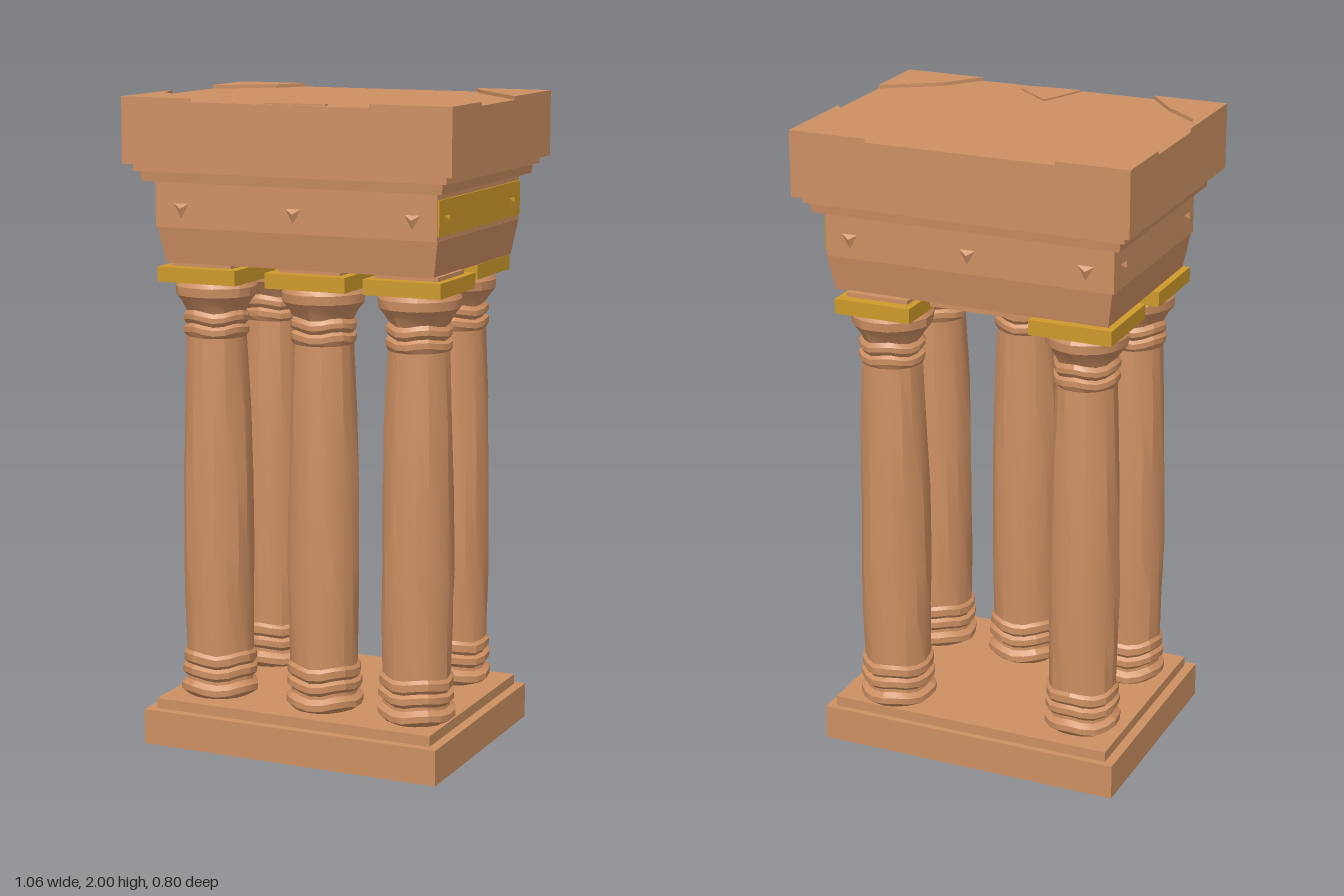
import * as THREE from 'three';
import { toCreasedNormals } from 'three/addons/utils/BufferGeometryUtils.js';

export function createModel() {
  const model = new THREE.Group();
  const stone = new THREE.MeshStandardMaterial({ color: 0xcd8f62 });
  stone.name = 'terracotta stone';
  const gold = new THREE.MeshStandardMaterial({ color: 0xce992a });
  gold.name = 'gold';

  const add = (name, geometry, material, parent = model) => {
    const mesh = new THREE.Mesh(geometry, material);
    mesh.name = name;
    parent.add(mesh);
    return mesh;
  };

  // Block between two corners; inset narrows the bottom face on every side
  const block = (name, [x0, x1], [y0, y1], [z0, z1], inset = 0, material = stone, parent = model) => {
    const w = x1 - x0, d = z1 - z0;
    const g = new THREE.BoxGeometry(w, y1 - y0, d);
    const p = g.attributes.position;
    for (let i = 0; i < p.count; i++) {
      if (p.getY(i) > 0) continue;
      p.setX(i, p.getX(i) * (1 - 2 * inset / w));
      p.setZ(i, p.getZ(i) * (1 - 2 * inset / d));
    }
    g.translate((x0 + x1) / 2, (y0 + y1) / 2, (z0 + z1) / 2);
    g.computeVertexNormals();
    return add(name, g, material, parent);
  };

  // Stepped plinth
  block('plinth', [-0.485, 0.49], [0, 0.11], [-0.355, 0.395]);
  block('plinthStep', [-0.455, 0.46], [0.11, 0.142], [-0.335, 0.367]);

  // Worn column: turned profile with a gentle angular irregularity
  const profile = [
    [0, 0.14], [0.098, 0.14], [0.119, 0.157], [0.119, 0.176], [0.103, 0.19], [0.102, 0.2],
    [0.116, 0.213], [0.116, 0.232], [0.104, 0.241], [0.113, 0.252], [0.113, 0.274], [0.104, 0.284],
    [0.107, 0.45], [0.109, 0.6], [0.106, 0.85], [0.101, 1.05], [0.092, 1.27],
    [0.1, 1.283], [0.1, 1.3], [0.09, 1.309], [0.1, 1.322], [0.1, 1.337], [0.091, 1.35],
    [0.105, 1.375], [0.123, 1.398], [0.125, 1.425], [0.115, 1.442], [0, 1.442],
  ].map(([r, y]) => new THREE.Vector2(r, y));

  const columnGeometry = (seed) => {
    const g = new THREE.LatheGeometry(profile, 18);
    const p = g.attributes.position;
    for (let i = 0; i < p.count; i++) {
      const x = p.getX(i), y = p.getY(i), z = p.getZ(i);
      const a = Math.atan2(z, x);
      const k = 1 + 0.016 * Math.sin(3 * a + y * 9 + seed) + 0.014 * Math.sin(7 * a - y * 23 + seed * 2);
      const ring = y < 0.29 && y > 0.15 || y > 1.275 && y < 1.36;
      const lift = ring ? 0.005 * Math.sin(4 * a + seed * 3) : 0;
      p.setXYZ(i, x * k, y + lift, z * k);
    }
    return toCreasedNormals(g, 0.4);
  };

  const columns = [
    ['frontRightColumn', -0.316, 0.208], ['frontMiddleColumn', 0.042, 0.208],
    ['frontLeftColumn', 0.352, 0.208], ['backLeftColumn', 0.292, -0.23],
    ['backRightColumn', -0.316, -0.175],
  ];
  columns.forEach(([name, x, z], i) => {
    const group = new THREE.Group();
    group.name = name;
    group.position.set(x, 0, z);
    model.add(group);
    add('shaft', columnGeometry(i * 1.7), stone, group);
    const half = x > 0.2 ? 0.122 : 0.13;
    block('abacus', [-half, half], [1.442, 1.488], [-0.135, 0.135], 0, gold, group);
    block('bearingPad', [-0.1, 0.1], [1.488, 1.5], [-0.1, 0.1], 0, stone, group);
  });
  block('backTieBeam', [-0.2, 0.2], [1.452, 1.5], [-0.22, -0.12]);

  // Entablature, from architrave to cornice
  block('architrave', [-0.452, 0.458], [1.498, 1.606], [-0.325, 0.328], 0.018);
  block('frieze', [-0.457, 0.457], [1.606, 1.745], [-0.325, 0.33]);
  block('goldFriezePanel', [0.457, 0.463], [1.62, 1.725], [-0.32, 0.328], 0, gold);
  block('lowerCornice', [-0.49, 0.488], [1.745, 1.78], [-0.365, 0.365], 0.004);
  block('upperCornice', [-0.506, 0.504], [1.776, 1.8], [-0.377, 0.377]);

  // Small worn chips on the frieze faces
  const chip = (x, z, turn, material) => {
    const g = new THREE.ConeGeometry(0.035, 0.012, 3);
    g.rotateX(Math.PI / 2);
    const m = add('friezeChip', g.toNonIndexed(), material);
    m.geometry.computeVertexNormals();
    m.position.set(x, 1.665, z);
    m.rotation.y = turn;
  };
  for (const x of [-0.37, 0, 0.38]) {
    chip(x, 0.334, 0, stone);
    chip(x, -0.329, Math.PI, stone);
  }
  for (const z of [-0.25, 0.27]) {
    chip(0.466, z, Math.PI / 2, gold);
    chip(-0.461, z, -Math.PI / 2, stone);
  }

  // Roof slab with slightly raised, broken corner pieces
  block('roofSlab', [-0.53, 0.53], [1.798, 1.987], [-0.4, 0.4]);
  const corners = [
    [[-0.53, -0.4], [-0.305, -0.4], [-0.36, -0.3], [-0.53, -0.185]],
    [[0.53, -0.4], [0.285, -0.4], [0.33, -0.32], [0.53, -0.09]],
    [[-0.53, 0.4], [-0.295, 0.4], [-0.39, 0.28], [-0.5, 0.185], [-0.53, 0.08]],
    [[0.53, 0.4], [0.275, 0.4], [0.36, 0.29], [0.53, 0.18]],
  ];
  for (const points of corners) {
    const shape = new THREE.Shape(points.map(([x, z]) => new THREE.Vector2(x, -z)));
    const g = new THREE.ExtrudeGeometry(shape, { depth: 0.011, bevelEnabled: false });
    g.rotateX(-Math.PI / 2);
    g.translate(0, 1.987, 0);
    add('raisedRoofCorner', g, stone);
  }
  const flake = new THREE.Shape([[0, -0.24], [-0.06, -0.396], [0.13, -0.38], [0.12, -0.345]]
    .map(([x, y]) => new THREE.Vector2(x, y)));
  const flakeGeometry = new THREE.ExtrudeGeometry(flake, { depth: 0.005, bevelEnabled: false });
  flakeGeometry.rotateX(-Math.PI / 2);
  flakeGeometry.translate(0, 1.987, 0);
  add('roofFlake', flakeGeometry, stone);

  return model;
}
